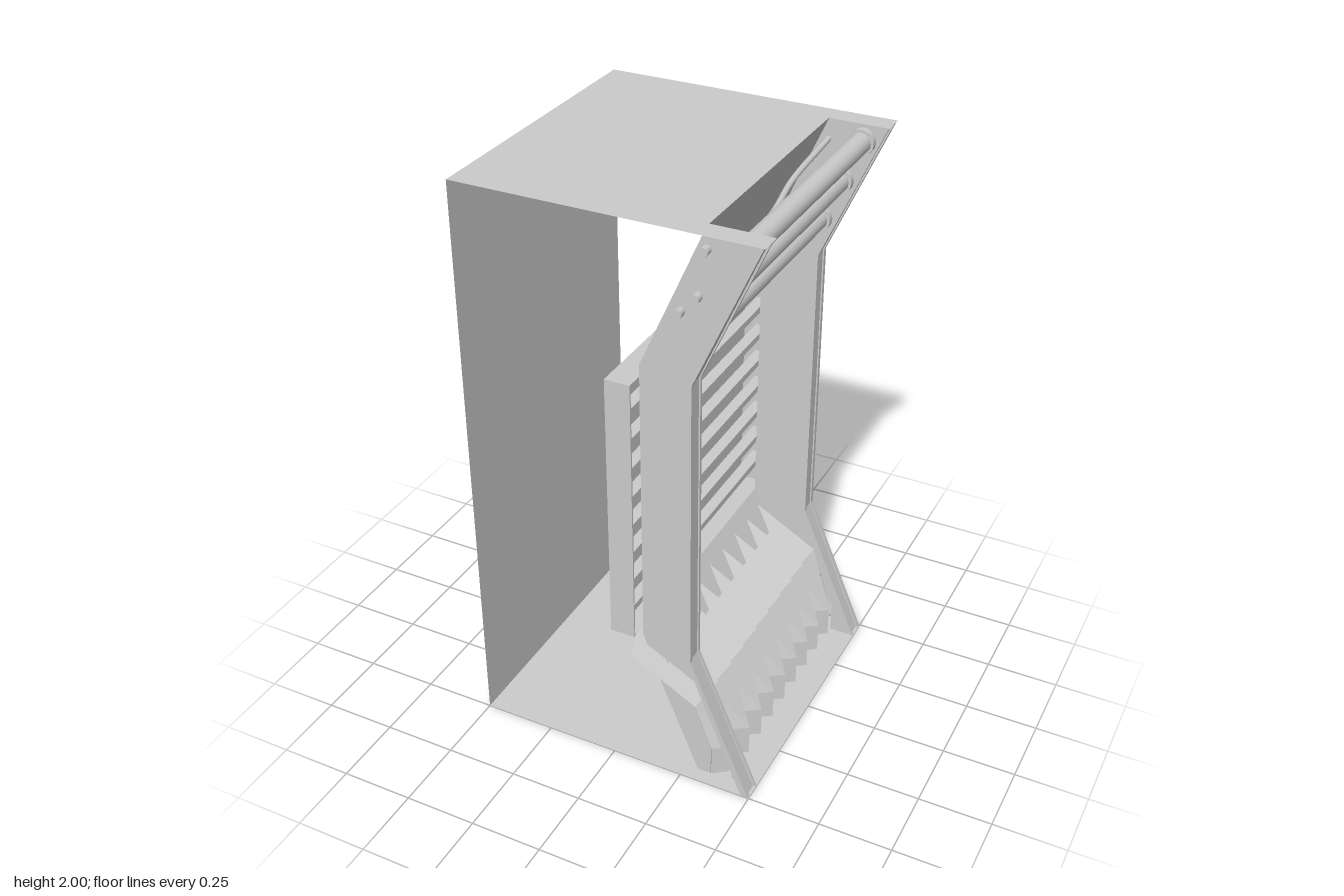
import * as THREE from 'three';

const mat = new THREE.MeshStandardMaterial({ color: 0xcccccc, side: THREE.DoubleSide });
const flatMat = new THREE.MeshStandardMaterial({ color: 0xcccccc, side: THREE.DoubleSide, flatShading: true });

export function createModel() {
  const root = new THREE.Group();

  const add = (name, geo, material = mat) => {
    const m = new THREE.Mesh(geo, material);
    m.name = name;
    root.add(m);
    return m;
  };

  // extrude an x/y outline between two z positions
  const prism = (name, pts, z0, z1) => {
    const shape = new THREE.Shape(pts.map(p => new THREE.Vector2(p[0], p[1])));
    const geo = new THREE.ExtrudeGeometry(shape, { depth: z1 - z0, bevelEnabled: false });
    return add(name, geo.translate(0, 0, z0));
  };

  // thin sheet stretched along z between two x/y points
  const sheet = (name, a, b, w) => {
    const geo = new THREE.BufferGeometry();
    const v = [[...a, w], [...b, w], [...b, -w], [...a, w], [...b, -w], [...a, -w]];
    geo.setAttribute('position', new THREE.Float32BufferAttribute(v.flat(), 3));
    geo.computeVertexNormals();
    return add(name, geo);
  };

  // cylinder lying along z
  const rod = (name, r, len, x, y, z, sides = 16) =>
    add(name, new THREE.CylinderGeometry(r, r, len, sides).rotateX(Math.PI / 2).translate(x, y, z));

  // outer shell: back wall, floor and notched top plate
  sheet('backWall', [-0.5, 2], [-0.5, 0], 0.5);
  sheet('bottomPlate', [-0.5, 0], [0.5, 0], 0.5);
  const top = new THREE.Shape([[-0.5, -0.5], [0.5, -0.5], [0.5, -0.425], [0.3, -0.425],
    [0.3, 0.425], [0.5, 0.425], [0.5, 0.5], [-0.5, 0.5]].map(p => new THREE.Vector2(...p)));
  add('topPlate', new THREE.ShapeGeometry(top).rotateX(-Math.PI / 2).translate(0, 2, 0));

  // side posts: a thin web with a wide bent flange on its front edge
  const front = [[0.497, 0], [0.285, 0.5], [0.285, 1.52], [0.497, 2]];
  const web = [...front, [0.3, 2], [0.085, 1.51], [0.085, 0.5], [0.1, 0.46],
    [0.315, 0.345], [0.41, 0.11], [0.41, 0]];
  const strip = (d0, d1) => {
    const off = d => front.map(([x, y]) => [x - d * (y > 0.4 && y < 1.6 ? 0.6 : 1), y]);
    return [...off(d0), ...off(d1).reverse()];
  };
  const mirrorPrism = (name, pts, z0, z1) => {
    prism(name, pts, z0, z1);
    prism(name, pts, -z1, -z0);
  };
  mirrorPrism('postWeb', web, 0.43, 0.44);
  mirrorPrism('postFlange', strip(0.008, 0.025), 0.43, 0.5);
  mirrorPrism('postFlangeInnerRim', strip(0, 0.008), 0.43, 0.441);
  mirrorPrism('postFlangeOuterRim', strip(0, 0.008), 0.484, 0.5);

  // sloped panel behind the pipes
  sheet('upperPanel', [0.085, 1.51], [0.3, 2], 0.43);

  // shallow louvre box, open to the front
  sheet('louvreBack', [0, 1.47], [0, 0.53], 0.5);
  sheet('louvreTop', [0, 1.47], [0.085, 1.47], 0.5);
  sheet('louvreBottom', [0, 0.53], [0.085, 0.53], 0.5);
  mirrorPrism('louvreSide', [[0, 0.53], [0.085, 0.53], [0.085, 1.47], [0, 1.47]], 0.494, 0.5);
  for (let i = 0; i < 9; i++) {
    const y = 1.462 - i * 0.1045;
    const h = i === 0 ? 0.006 : 0.028;
    prism('slat', [[0.045, y - 0.012], [0.083, y + 0.005], [0.083, y + h], [0.045, y + h + 0.001]], -0.493, 0.493);
  }
  sheet('sill', [0.085, 0.535], [0.17, 0.4], 0.43);

  // corrugated lower skirt: straight folds between a ridge path and a valley path
  const ridge = [[0.41, 0], [0.41, 0.11], [0.338, 0.365], [0.045, 0.53]];
  const valley = [[0.34, 0], [0.34, 0.11], [0.28, 0.27], [0.045, 0.4]];
  const pos = [];
  for (let i = 0; i < 18; i++) {
    const z0 = -0.45 + i * 0.05, z1 = z0 + 0.05;
    const [p, q] = i % 2 ? [ridge, valley] : [valley, ridge];
    for (let j = 0; j < 3; j++) {
      const a = [...p[j], z0], b = [...q[j], z1], c = [...q[j + 1], z1], d = [...p[j + 1], z0];
      pos.push(...a, ...c, ...b, ...a, ...d, ...c);
    }
  }
  const folds = new THREE.BufferGeometry();
  folds.setAttribute('position', new THREE.Float32BufferAttribute(pos, 3));
  folds.computeVertexNormals();
  add('corrugatedSkirt', folds, flatMat);
  prism('skirtBacking', [[0.15, 0.342], [0.29, 0], [0.338, 0], [0.338, 0.11], [0.278, 0.27]], -0.45, 0.45);

  // three cross pipes with end collars
  for (const [x, y] of [[0.415, 1.945], [0.35, 1.803], [0.285, 1.66]]) {
    rod('pipe', 0.034, 0.86, x, y, 0);
    for (const s of [-1, 1]) rod('pipeCollar', 0.043, 0.022, x, y, s * 0.419);
  }

  // slack hoses between the posts, with a stub outside each post
  const hoses = [
    [[0.3, 1.93], [0.325, 1.875], [0.32, 1.872], [0.3, 1.9], [0.3, 1.93]],
    [[0.275, 1.78], [0.29, 1.73], [0.28, 1.72], [0.26, 1.755], [0.275, 1.78]],
    [[0.22, 1.72], [0.24, 1.705], [0.235, 1.75], [0.24, 1.715], [0.22, 1.72]],
  ];
  for (const path of hoses) {
    const pts = path.map(([x, y], i) => new THREE.Vector3(x, y, [0.43, 0.27, 0.05, -0.15, -0.43][i]));
    add('hose', new THREE.TubeGeometry(new THREE.CatmullRomCurve3(pts), 32, 0.01, 8));
    for (const s of [-1, 1]) rod('hoseStub', 0.015, 0.03, path[0][0], path[0][1], s * 0.45, 10);
  }

  return root;
}
